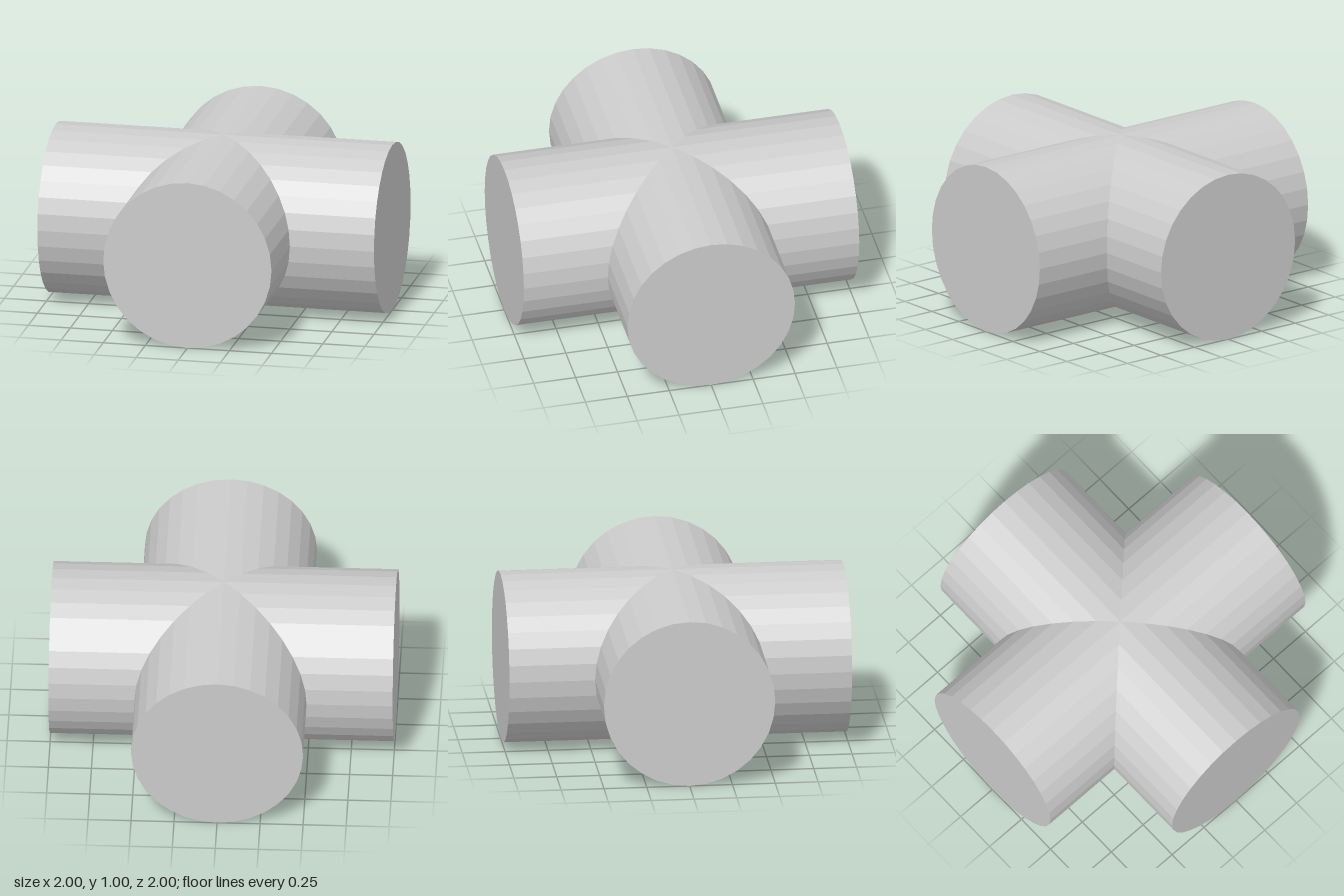
import * as THREE from 'three';

const RADIUS = 0.5, REACH = 1, SIDES = 32;

// Tube pointing to +z whose inner end is mitred at 45 degrees to meet its neighbours
function mitredTube() {
  const geo = new THREE.CylinderGeometry(RADIUS, RADIUS, 2 * REACH, SIDES, 1, true);
  geo.rotateX(Math.PI / 2);
  const pos = geo.attributes.position;
  for (let i = 0; i < pos.count; i++) {
    if (pos.getZ(i) < 0) pos.setZ(i, Math.abs(pos.getX(i)));
  }
  geo.computeVertexNormals();
  return geo;
}

export function createModel() {
  const model = new THREE.Group();
  model.name = 'pipeCross';
  const material = new THREE.MeshStandardMaterial({ color: 0xcccccc, flatShading: true });
  const tubeGeo = mitredTube();
  const capGeo = new THREE.CircleGeometry(RADIUS, SIDES);

  // Four equal arms, each a mitred tube closed by a flat end
  ['front', 'left', 'back', 'right'].forEach((side, i) => {
    const arm = new THREE.Group();
    arm.name = side + 'Arm';
    const tube = new THREE.Mesh(tubeGeo, material);
    tube.name = side + 'Tube';
    const cap = new THREE.Mesh(capGeo, material);
    cap.name = side + 'EndCap';
    cap.position.z = REACH;
    arm.add(tube, cap);
    arm.position.y = RADIUS;
    arm.rotation.y = i * Math.PI / 2;
    model.add(arm);
  });
  return model;
}
